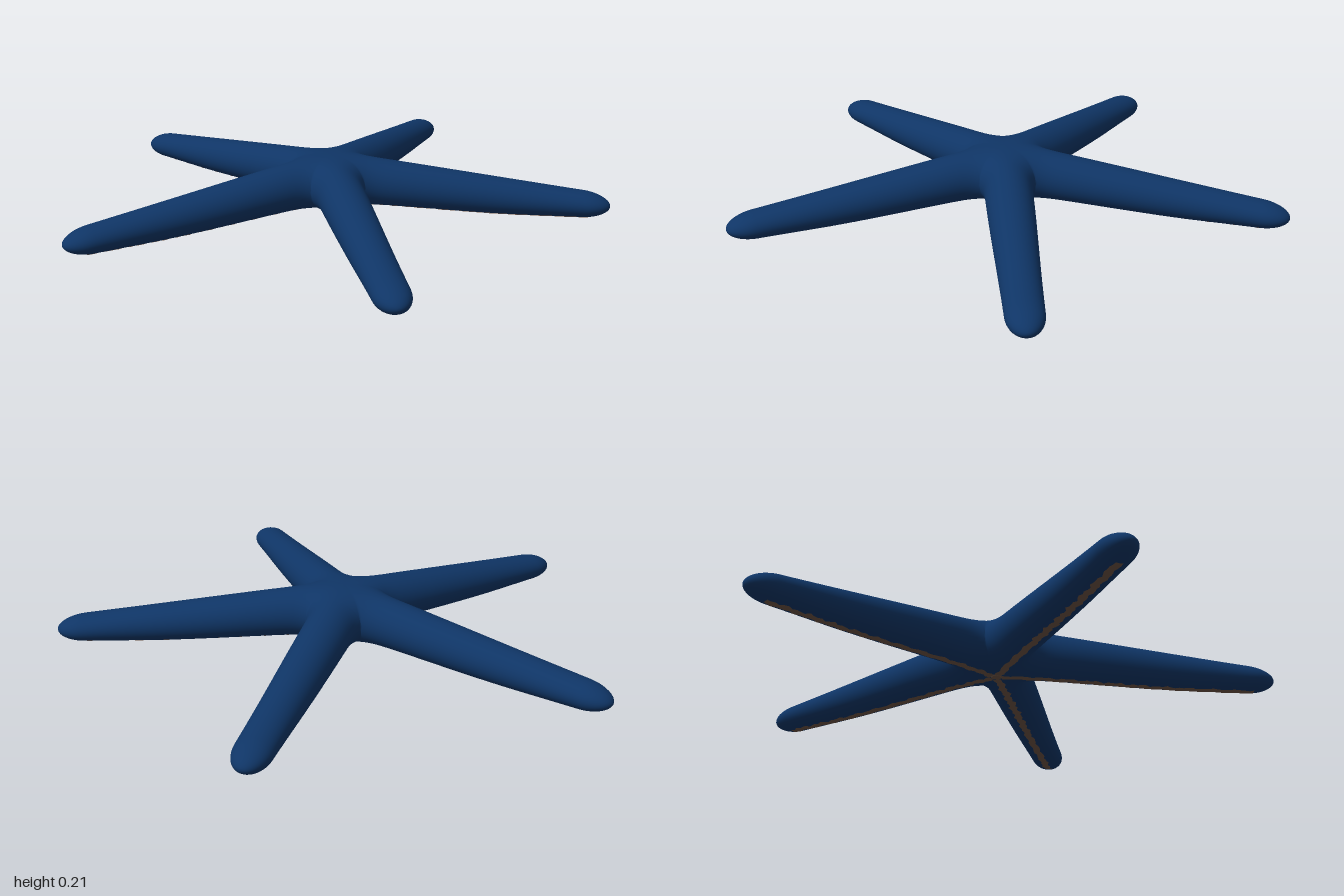
import * as THREE from 'three';
import { mergeVertices } from 'three/addons/utils/BufferGeometryUtils.js';

const ARMS = 5, LENGTH = 1.05, CENTRE_Z = -0.1, SLOPE = Math.tan(Math.PI / ARMS);
const lerp = THREE.MathUtils.lerp, smooth = THREE.MathUtils.smoothstep;

// Rounding towards the arm tip: 1 along the arm, 0 at the very end
const tip = (a) => Math.sqrt(Math.max(0, 1 - Math.max(0, (a - 0.95) / (LENGTH - 0.95)) ** 2));
// Half width at distance a from the centre, flaring into the neighbouring arms
const width = (a) => (lerp(0.088, 0.063, smooth(a, 0.1, 1.1)) + 0.17 * Math.exp(-((a / 0.09) ** 2))) * tip(a);
const topY = (a) => 0.215 - 0.13 * (Math.sqrt((Math.max(0, a - 0.02)) ** 2 + 0.0036) - 0.06);
const bottomY = (a) => 0.004 + 0.021 * (1 - smooth(a, 0.05, 0.75));

// Distance at which two neighbouring arms part
let lo = 0, hi = 0.4;
for (let i = 0; i < 40; i++) {
  const m = (lo + hi) / 2;
  if (m * SLOPE < width(m)) lo = m; else hi = m;
}
const CROTCH = hi;

// Point on the skin at distance a and section angle t, for an arm turned by phi
function skinPoint(a, t, phi, drop = 0) {
  const s = width(a) * Math.cos(t);
  const mid = (topY(a) + bottomY(a)) / 2, half = ((topY(a) - bottomY(a)) / 2) * tip(a);
  return [
    a * Math.sin(phi) + s * Math.cos(phi),
    mid + half * Math.sin(t) - drop,
    CENTRE_Z + a * Math.cos(phi) - s * Math.sin(phi),
  ];
}

// Distances of the cross-sections, closer together at the centre and the tip
function rows() {
  const list = [];
  for (let i = 0; i < 12; i++) list.push(CROTCH * Math.sin((i / 12) * Math.PI / 2));
  for (let i = 0; i < 14; i++) list.push(lerp(CROTCH, 0.35, (i / 14) ** 1.6));
  for (let i = 0; i < 12; i++) list.push(lerp(0.35, 0.95, i / 12));
  for (let i = 0; i <= 10; i++) list.push(lerp(0.95, LENGTH, Math.sin((i / 10) * Math.PI / 2)));
  return list;
}

// Joins a grid of points into an indexed patch
function addPatch(pos, idx, grid) {
  const base = pos.length / 3, n = grid[0].length;
  grid.forEach((row) => row.forEach((p) => pos.push(...p)));
  for (let i = 0; i < grid.length - 1; i++) {
    for (let j = 0; j < n - 1; j++) {
      const p = base + i * n + j, q = p + n;
      idx.push(p, p + 1, q, p + 1, q + 1, q);
    }
  }
}

function buildGeometry(fill) {
  const pos = [], idx = [];
  for (let k = 0; k < ARMS; k++) fill(pos, idx, (k * 2 * Math.PI) / ARMS);
  const geo = new THREE.BufferGeometry();
  geo.setAttribute('position', new THREE.Float32BufferAttribute(pos, 3));
  geo.setIndex(idx);
  const merged = mergeVertices(geo, 1e-4);
  merged.computeVertexNormals();
  return merged;
}

export function createModel() {
  const group = new THREE.Group();
  const skin = new THREE.MeshStandardMaterial({ color: 0x0f3566 });
  skin.name = 'navy skin';
  const brown = new THREE.MeshStandardMaterial({ color: 0x6b5344, side: THREE.DoubleSide });
  brown.name = 'groove brown';

  // Body: five arms, upper and lower skin, meeting on the lines between the arms
  const N = 20;
  const bodyGeo = buildGeometry((pos, idx, phi) => {
    for (const start of [0, Math.PI]) {
      addPatch(pos, idx, rows().map((a) => {
        const t0 = a < CROTCH ? Math.acos(Math.min(1, (a * SLOPE) / width(a))) : 0;
        return Array.from({ length: N + 1 }, (_, j) =>
          skinPoint(a, start + lerp(t0, Math.PI - t0, j / N), phi));
      }));
    }
  });
  const body = new THREE.Mesh(bodyGeo, skin);
  body.name = 'starBody';
  group.add(body);

  // Ragged feeding groove along the underside of each arm
  const grooveGeo = buildGeometry((pos, idx, phi) => {
    const grid = [];
    for (let i = 0; i <= 60; i++) {
      const a = lerp(0.02, 0.97, i / 60);
      const w = Math.min(a * SLOPE, 0.014 + 0.003 * Math.sin(i * 2.3) + 0.002 * Math.sin(i * 4.1 + phi));
      const shift = 0.003 * Math.sin(i * 1.1 + phi);
      grid.push([-1, -0.5, 0, 0.5, 1].map((u) =>
        skinPoint(a, Math.PI * 1.5 + Math.asin((u * w + shift) / width(a)), phi, 0.003)));
    }
    addPatch(pos, idx, grid);
  });
  const grooves = new THREE.Mesh(grooveGeo, brown);
  grooves.name = 'undersideGrooves';
  group.add(grooves);

  // Mouth at the centre of the underside
  const mouth = new THREE.Mesh(new THREE.CylinderGeometry(0.022, 0.018, 0.006, 20), brown);
  mouth.position.set(0, bottomY(0) - 0.001, CENTRE_Z);
  mouth.name = 'mouth';
  group.add(mouth);

  return group;
}
